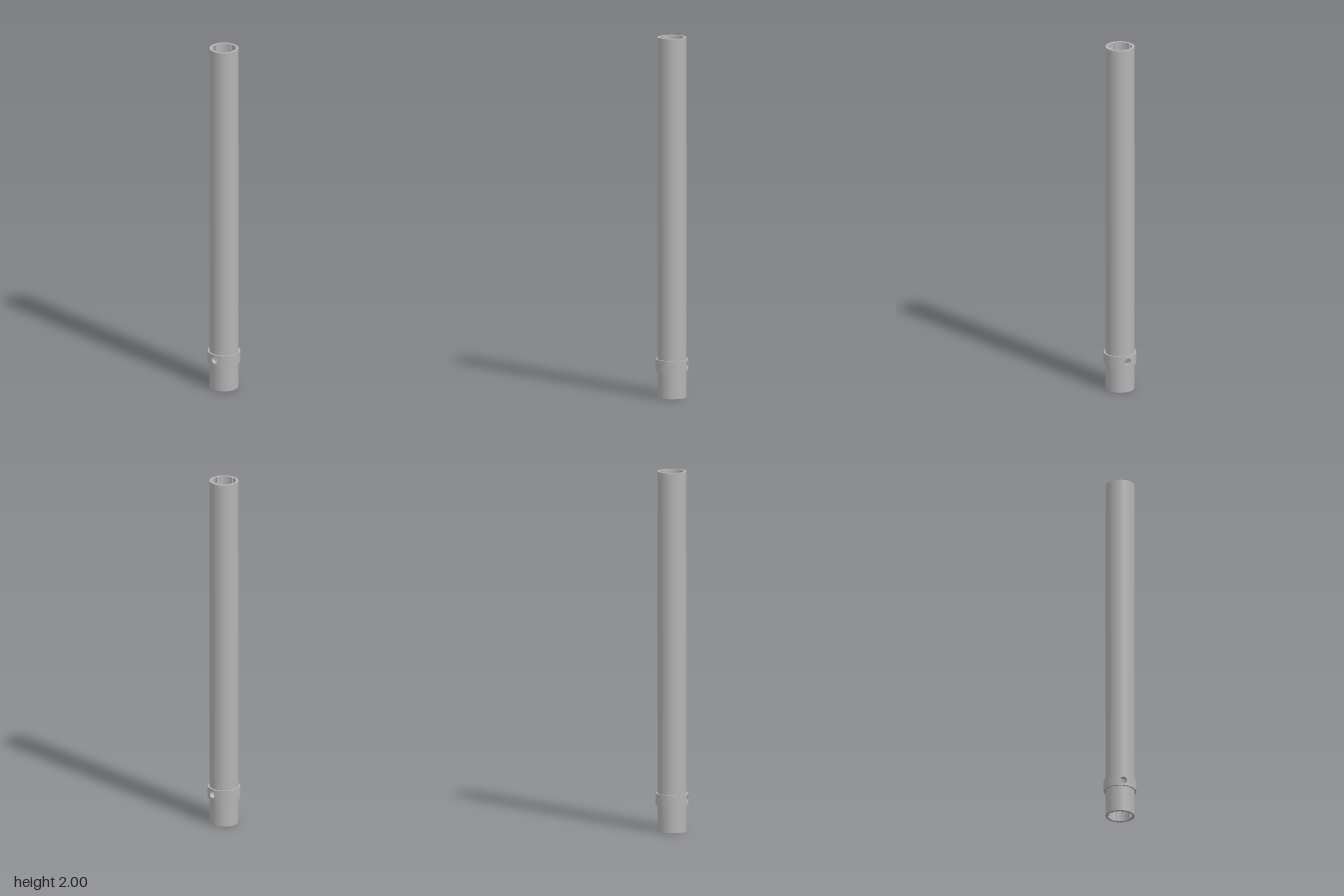
import * as THREE from 'three';

const OUTER = 0.08, INNER = 0.065, COLLAR = 0.0895;
const HEIGHT = 2, BAND_LOW = 0.148, BAND_HIGH = 0.212;
const HOLE_Y = (BAND_LOW + BAND_HIGH) / 2, HOLE_R = 0.019, HALF = (BAND_HIGH - BAND_LOW) / 2;

export function createModel() {
  const group = new THREE.Group();
  const grey = new THREE.MeshStandardMaterial({ color: 0xb4b4b4, side: THREE.DoubleSide });
  grey.name = 'grey';

  const add = (name, geometry, x = 0, y = 0, z = 0) => {
    const mesh = new THREE.Mesh(geometry, grey);
    mesh.name = name;
    mesh.position.set(x, y, z);
    group.add(mesh);
    return mesh;
  };

  // Open cylindrical skin between two heights
  const skin = (name, r, y0, y1, start = 0, length = Math.PI * 2) =>
    add(name, new THREE.CylinderGeometry(r, r, y1 - y0, 72, 1, true, start, length), 0, (y0 + y1) / 2);

  // Flat ring closing a tube end or a collar shoulder
  const ring = (name, r0, r1, y, up) => {
    const geometry = new THREE.RingGeometry(r0, r1, 72);
    geometry.rotateX(up ? -Math.PI / 2 : Math.PI / 2);
    add(name, geometry, 0, y);
  };

  // Grid of quads from a function (i, j) => { p, n }
  const grid = (rows, cols, at) => {
    const pos = [], nor = [], index = [];
    for (let i = 0; i <= rows; i++) {
      for (let j = 0; j <= cols; j++) {
        const { p, n } = at(i / rows, (j / cols) * Math.PI * 2);
        pos.push(...p);
        nor.push(...n);
        if (i < rows && j < cols) {
          const a = i * (cols + 1) + j, b = a + cols + 1;
          index.push(a, a + 1, b, b, a + 1, b + 1);
        }
      }
    }
    const geometry = new THREE.BufferGeometry();
    geometry.setAttribute('position', new THREE.Float32BufferAttribute(pos, 3));
    geometry.setAttribute('normal', new THREE.Float32BufferAttribute(nor, 3));
    geometry.setIndex(index);
    return geometry;
  };

  // Curved square patch pierced by the round hole, facing +x (or inward)
  const patch = (r, inward) => grid(6, 48, (u, t) => {
    const c = Math.cos(t), s = Math.sin(t);
    const reach = THREE.MathUtils.lerp(HOLE_R, HALF / Math.max(Math.abs(c), Math.abs(s)), u);
    const z = (inward ? 1 : -1) * reach * c, x = Math.sqrt(r * r - z * z);
    const f = inward ? -1 : 1;
    return { p: [x, reach * s, z], n: [f * x / r, 0, f * z / r] };
  });

  // Bore of the hole through the wall
  const bore = grid(1, 48, (u, t) => {
    const z = HOLE_R * Math.cos(t), r = u ? COLLAR : INNER;
    return {
      p: [Math.sqrt(r * r - z * z), HOLE_R * Math.sin(t), z],
      n: [0, -Math.sin(t), -Math.cos(t)],
    };
  });

  // Main tube, inside and outside
  skin('tubeLower', OUTER, 0, BAND_LOW);
  skin('tubeUpper', OUTER, BAND_HIGH, HEIGHT);
  skin('tubeLiningLower', INNER, 0, BAND_LOW);
  skin('tubeLiningUpper', INNER, BAND_HIGH, HEIGHT);
  ring('tubeBottomRim', INNER, OUTER, 0, false);
  ring('tubeTopRim', INNER, OUTER, HEIGHT, true);
  ring('collarTop', OUTER, COLLAR, BAND_HIGH, true);
  ring('collarBottom', OUTER, COLLAR, BAND_LOW, false);

  // Collar band with a hole on each side
  for (const [name, r, inward] of [['collar', COLLAR, false], ['collarLining', INNER, true]]) {
    const gap = Math.asin(HALF / r);
    for (const start of [-Math.PI / 2, Math.PI / 2]) {
      skin(name, r, BAND_LOW, BAND_HIGH, start + gap, Math.PI - 2 * gap);
    }
    for (const turn of [0, Math.PI]) {
      add(name + 'HolePatch', patch(r, inward), 0, HOLE_Y).rotation.y = turn;
    }
  }
  for (const turn of [0, Math.PI]) add('holeBore', bore, 0, HOLE_Y).rotation.y = turn;

  // Four guide ribs inside; those on the sides stop at the holes
  for (let k = 0; k < 4; k++) {
    const spans = k % 2 ? [[0, HEIGHT]] : [[0, HOLE_Y - HOLE_R], [HOLE_Y + HOLE_R, HEIGHT]];
    const a = (k * Math.PI) / 2, mid = 0.0605;
    for (const [y0, y1] of spans) {
      add('guideRib', new THREE.BoxGeometry(0.01, y1 - y0, 0.006),
        mid * Math.cos(a), (y0 + y1) / 2, -mid * Math.sin(a)).rotation.y = a;
    }
  }
  return group;
}
